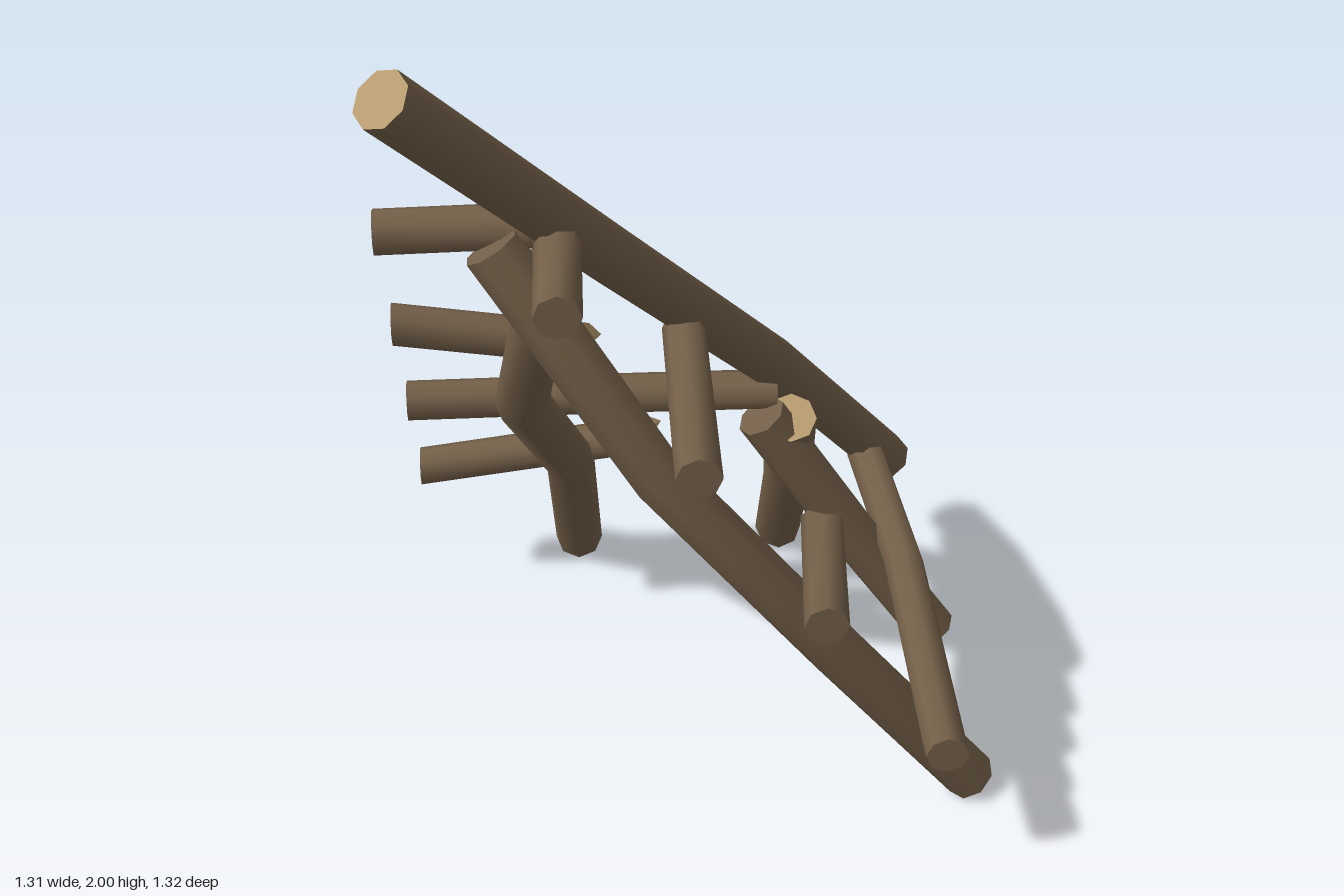
import * as THREE from 'three';

const SIDES = 8;
const bark = new THREE.MeshStandardMaterial({ color: 0x746049 });
bark.name = 'bark';
const wood = new THREE.MeshStandardMaterial({ color: 0xb89c70 });
wood.name = 'cutWood';

const X = new THREE.Vector3(1, 0, 0);
const Y = new THREE.Vector3(0, 1, 0);
const BACK = new THREE.Vector3(0, 0, -1);
// splinter lengths round a snapped end: two prongs with a notch between
const JAGS = [0.035, 0.0, -0.045, -0.02, 0.03, -0.01, -0.045, 0.005];

function mesh(name, positions, index, material) {
  const geometry = new THREE.BufferGeometry();
  geometry.setAttribute('position', new THREE.Float32BufferAttribute(positions.flatMap((p) => p.toArray()), 3));
  geometry.setIndex(index);
  const flat = name === 'end' ? geometry.toNonIndexed() : geometry;
  flat.computeVertexNormals();
  const m = new THREE.Mesh(flat, material);
  m.name = name;
  return m;
}

// Round log through a few points, with a mitred ring at each point
function log(name, coords, radius, { startDir, startMat = bark, endMat = bark, broken = false } = {}) {
  const pts = coords.map((c) => new THREE.Vector3(...c));
  const last = pts.length - 1;
  const rings = pts.map((p, i) => {
    const t = new THREE.Vector3();
    if (i > 0) t.add(p.clone().sub(pts[i - 1]).normalize());
    if (i < last) t.add(pts[i + 1].clone().sub(p).normalize());
    if (i === 0 && startDir) t.copy(startDir);
    t.normalize();
    const u = Y.clone().cross(t).normalize();
    const v = t.clone().cross(u);
    return Array.from({ length: SIDES }, (_, j) => {
      const a = (j / SIDES) * Math.PI * 2;
      const q = p.clone().addScaledVector(u, radius * Math.cos(a)).addScaledVector(v, radius * Math.sin(a));
      return broken && i === last ? q.addScaledVector(t, JAGS[j]) : q;
    });
  });

  const side = [], startFan = [], endFan = [];
  for (let j = 0; j < SIDES; j++) {
    const k = (j + 1) % SIDES;
    for (let i = 0; i < last; i++) {
      const a = i * SIDES + j, b = i * SIDES + k;
      side.push(a, b, b + SIDES, a, b + SIDES, a + SIDES);
    }
    startFan.push(SIDES, k, j);
    endFan.push(SIDES, j, k);
  }
  const endCentre = pts[last].clone();
  if (broken) endCentre.addScaledVector(pts[last].clone().sub(pts[last - 1]).normalize(), -0.04);

  const group = new THREE.Group();
  group.name = name;
  group.add(
    mesh('shaft', rings.flat(), side, bark),
    mesh('end', [...rings[0], pts[0]], startFan, startMat),
    mesh('end', [...rings[last], endCentre], endFan, broken ? wood : endMat),
  );
  return group;
}

export function createModel() {
  const model = new THREE.Group();
  model.name = 'stickShelter';
  const P = 0.06, S = 0.047;

  // Leaning ridge pole
  model.add(log('ridgePole', [[-0.6, 1.965, 0.605], [-0.19, 1.41, 0.235], [0.2, 0.83, -0.22], [0.54, 0.295, -0.565]],
    P, { startMat: wood }));

  // Rafters leaning on the ridge from the left and from the back
  model.add(log('leftFrontRafter', [[0.605, 0.045, 0.36], [0.27, 0.52, 0.45], [-0.12, 1.04, 0.48], [-0.43, 1.53, 0.38]], P));
  model.add(log('leftRearRafter', [[0.605, 0.045, -0.17], [0.38, 0.38, -0.165], [0.16, 0.74, -0.14]], P));
  model.add(log('backRightRafter', [[-0.265, 0.045, -0.615], [-0.285, 0.51, -0.32], [-0.39, 0.94, 0.05], [-0.32, 1.45, 0.34]], P));
  model.add(log('backLeftRafter', [[0.265, 0.045, -0.615], [0.255, 0.4, -0.37], [0.23, 0.73, -0.14]], P, { endMat: wood }));

  // Rungs running front to back
  const alongZ = [
    [[[-0.31, 1.535, 0.657], [-0.3, 1.52, 0.29]]],
    [[[-0.05, 1.155, 0.657], [-0.035, 1.12, 0.06]]],
    [[[0.21, 0.77, 0.657], [0.26, 0.682, 0.205]], true],
    [[[0.48, 0.395, 0.657], [0.5, 0.355, -0.05], [0.465, 0.385, -0.46]]],
  ];
  // Rungs running side to side
  const alongX = [
    [[[-0.657, 1.535, 0.315], [-0.29, 1.545, 0.33]]],
    [[[-0.657, 1.155, 0.05], [-0.24, 1.06, 0.015]], true],
    [[[-0.657, 0.78, -0.21], [-0.11, 0.78, -0.2], [0.2, 0.78, -0.19]]],
    [[[-0.657, 0.4, -0.475], [-0.09, 0.492, -0.44]], true],
  ];
  alongZ.forEach(([pts, broken], i) => model.add(log(`sideRung${i + 1}`, pts, S, { startDir: BACK, broken })));
  alongX.forEach(([pts, broken], i) => model.add(log(`backRung${i + 1}`, pts, S, { startDir: X, broken })));
  return model;
}
